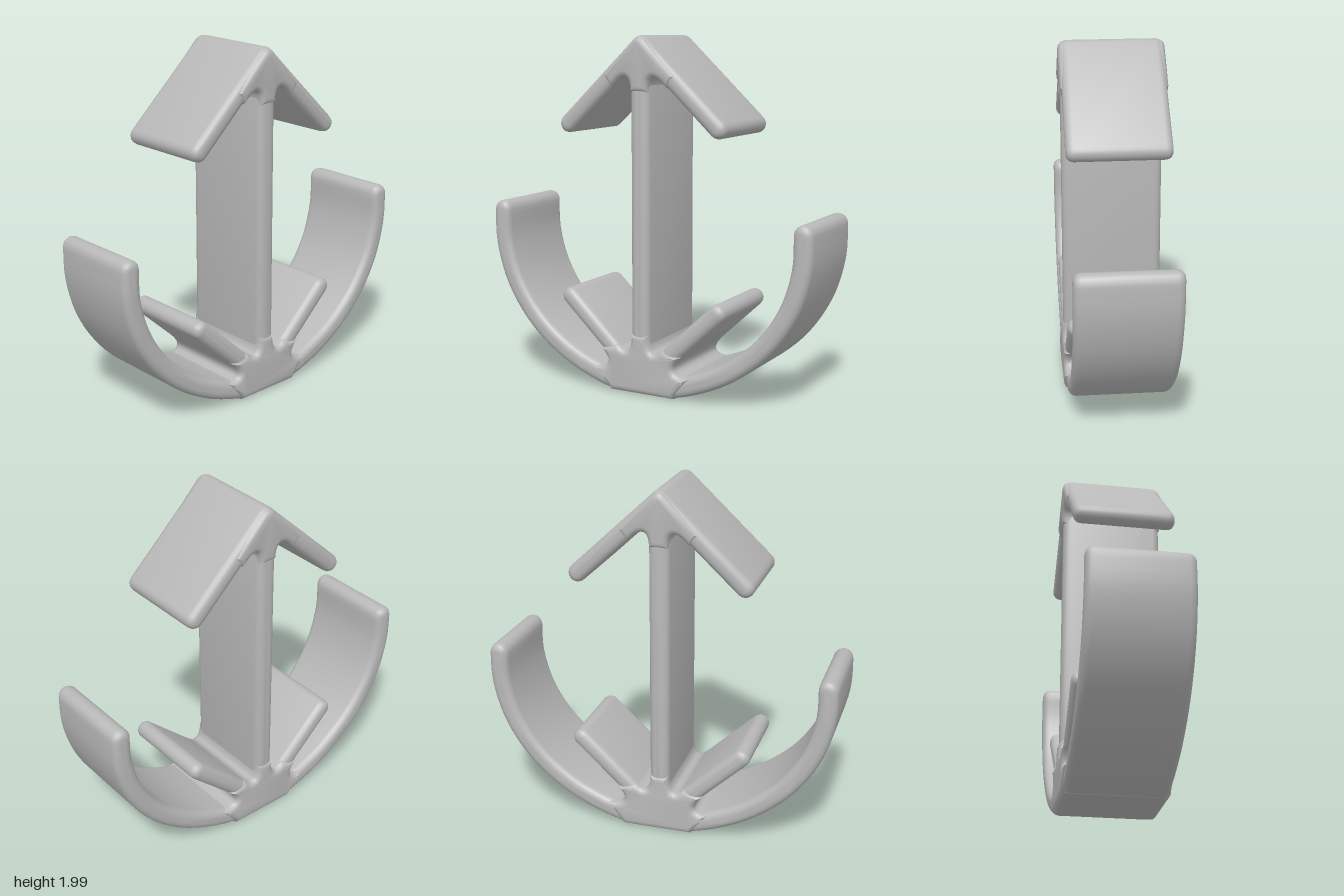
import * as THREE from 'three';
import { toCreasedNormals } from 'three/addons/utils/BufferGeometryUtils.js';

const CX = -0.013; // the shaft, spokes and head sit slightly off centre

// Extrude a flat outline along z with rounded rims, keeping the outline's size
function slab(name, shape, halfDepth, bevel, material) {
  const geo = new THREE.ExtrudeGeometry(shape, {
    depth: 2 * (halfDepth - bevel), bevelEnabled: true, bevelSegments: 4,
    bevelSize: bevel, bevelThickness: bevel, bevelOffset: -bevel, curveSegments: 8,
  });
  geo.translate(0, 0, bevel - halfDepth);
  const mesh = new THREE.Mesh(toCreasedNormals(geo, 0.75), material);
  mesh.name = name;
  return mesh;
}

// Outline of a stroke of radius r with round ends that follows a path
function stroke(points, r, steps) {
  const curve = new THREE.SplineCurve(points.map(([x, y]) => new THREE.Vector2(x, y)));
  const right = [], left = [], caps = [[], []];
  for (let i = 0; i <= steps; i++) {
    const p = curve.getPoint(i / steps), t = curve.getTangent(i / steps);
    right.push(new THREE.Vector2(p.x + t.y * r, p.y - t.x * r));
    left.unshift(new THREE.Vector2(p.x - t.y * r, p.y + t.x * r));
  }
  [1, 0].forEach((u, k) => {
    const p = curve.getPoint(u), t = curve.getTangent(u);
    const start = Math.atan2(t.y, t.x) + (k ? Math.PI / 2 : -Math.PI / 2);
    for (let j = 1; j < 8; j++) {
      const a = start + (j / 8) * Math.PI;
      caps[k].push(new THREE.Vector2(p.x + r * Math.cos(a), p.y + r * Math.sin(a)));
    }
  });
  return new THREE.Shape([...right, ...caps[0], ...left, ...caps[1]]);
}

export function createModel() {
  const grey = new THREE.MeshStandardMaterial({ color: 0xb8b8b8 });
  grey.name = 'plain grey';
  const model = new THREE.Group();
  model.name = 'anchorArrow';
  const bar = (name, points, r, steps) =>
    model.add(slab(name, stroke(points, r, steps), 0.28, 0.04, grey));

  // Curved bowl, mirrored from one side
  const side = [[-0.945, 0.975], [-0.94, 0.8], [-0.885, 0.6], [-0.78, 0.42],
    [-0.64, 0.275], [-0.45, 0.15], [-0.2, 0.058]];
  bar('bowl', [...side, [0, 0.055], ...side.map(([x, y]) => [-x, y]).reverse()], 0.055, 56);

  // Upright shaft
  bar('shaft', [[CX, 0.08], [CX, 1.91]], 0.057, 1);

  // Sloping head arms and lower spokes
  for (const [label, s] of [['left', 1], ['right', -1]]) {
    bar(label + 'HeadArm', [[CX, 1.935], [CX + s * 0.467, 1.497]], 0.051, 1);
    bar(label + 'Spoke', [[CX, 0.07], [CX + s * 0.467, 0.507]], 0.05, 1);
  }

  // Filleted hub where the bowl, spokes and shaft meet
  const hub = new THREE.Shape();
  hub.moveTo(-0.2, 0);
  hub.lineTo(0.2, 0);
  hub.lineTo(0.3, 0.13);
  hub.quadraticCurveTo(0.13, 0.13, 0.24, 0.24);
  hub.lineTo(0.13, 0.27);
  hub.quadraticCurveTo(0.04, 0.19, 0.04, 0.34);
  hub.lineTo(-0.066, 0.34);
  hub.quadraticCurveTo(-0.066, 0.19, -0.156, 0.27);
  hub.lineTo(-0.266, 0.24);
  hub.quadraticCurveTo(-0.156, 0.13, -0.3, 0.13);
  model.add(slab('hub', hub, 0.29, 0.035, grey));

  // Filleted gusset under the apex
  const gusset = new THREE.Shape();
  gusset.moveTo(CX + 0.053, 1.68);
  gusset.quadraticCurveTo(CX + 0.056, 1.83, CX + 0.17, 1.705);
  gusset.lineTo(CX + 0.225, 1.77);
  gusset.lineTo(CX + 0.035, 1.965);
  gusset.quadraticCurveTo(CX, 1.995, CX - 0.035, 1.965);
  gusset.lineTo(CX - 0.225, 1.77);
  gusset.lineTo(CX - 0.17, 1.705);
  gusset.quadraticCurveTo(CX - 0.056, 1.83, CX - 0.053, 1.68);
  model.add(slab('apexGusset', gusset, 0.29, 0.035, grey));

  return model;
}
